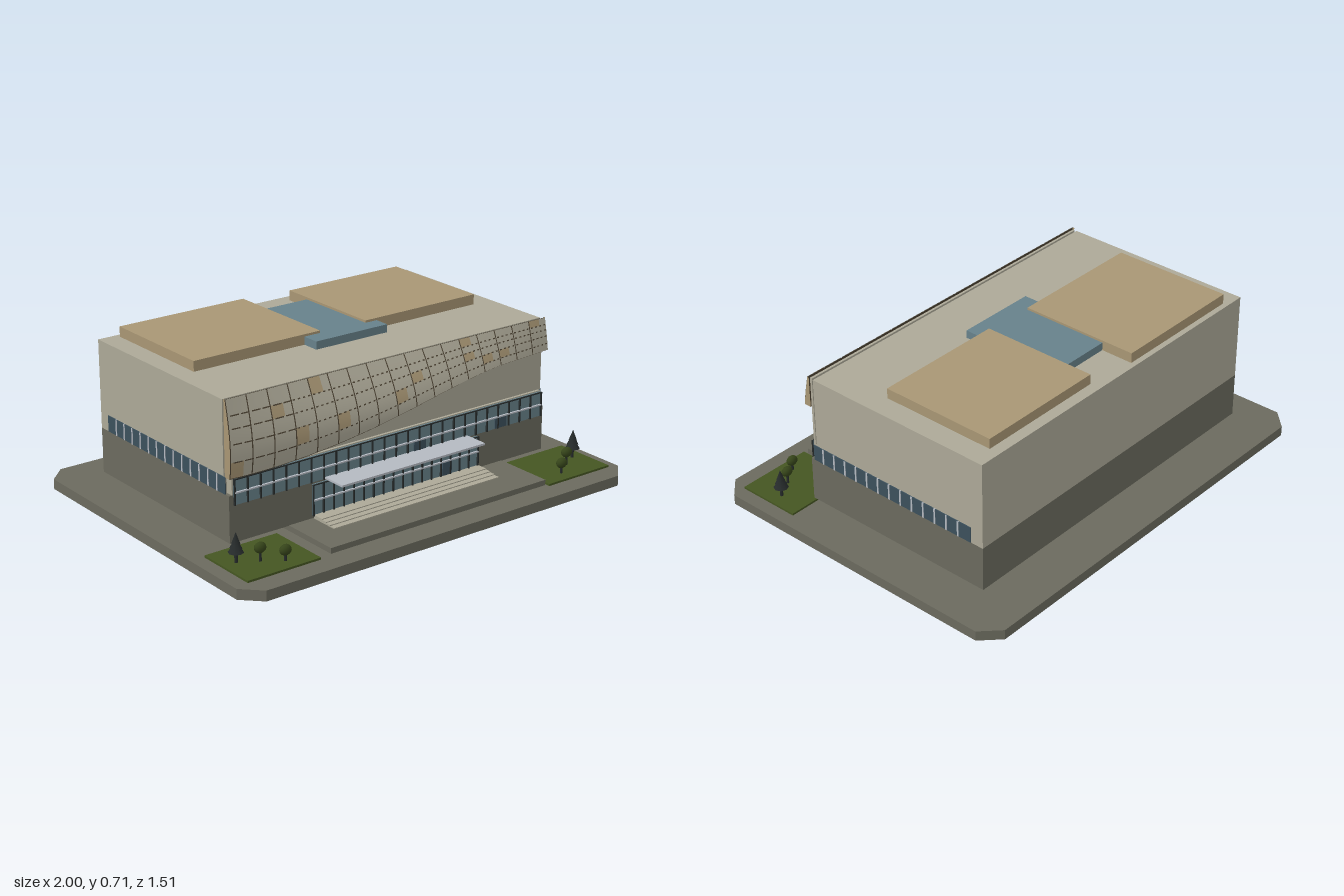
import * as THREE from 'three';
import { mergeGeometries } from 'three/addons/utils/BufferGeometryUtils.js';

const mat = (name, color, side = THREE.FrontSide) => {
  const m = new THREE.MeshStandardMaterial({ color, side });
  m.name = name;
  return m;
};

export function createModel() {
  const M = {
    concrete: mat('concrete', 0x6b6a5e),
    cream: mat('cream stone', 0xaca897, THREE.DoubleSide),
    tan: mat('tan panel', 0xa89674, THREE.DoubleSide),
    glass: mat('blue glass', 0x67818a),
    darkGlass: mat('dark glass', 0x3c505c),
    grass: mat('grass', 0x455622),
    foliage: mat('foliage', 0x36451a),
    frame: mat('dark frame', 0x262b2b),
    metal: mat('pale metal', 0xb4b9c1),
    brown: mat('brown soffit', 0x4f4535, THREE.DoubleSide),
  };
  const model = new THREE.Group();
  const add = (name, geo, material) => {
    const mesh = new THREE.Mesh(geo, material);
    mesh.name = name;
    model.add(mesh);
    return mesh;
  };
  const boxGeo = (x0, x1, y0, y1, z0, z1) =>
    new THREE.BoxGeometry(x1 - x0, y1 - y0, z1 - z0).translate((x0 + x1) / 2, (y0 + y1) / 2, (z0 + z1) / 2);
  const box = (name, material, ...b) => add(name, boxGeo(...b), material);

  // Ground slab with clipped corners
  const X = 1, Z = 0.755, C = 0.08;
  const outline = [[-X + C, -Z], [X - C, -Z], [X, -Z + C], [X, Z - C], [X - C, Z], [-X + C, Z], [-X, Z - C], [-X, -Z + C]];
  const slab = new THREE.ExtrudeGeometry(new THREE.Shape(outline.map(p => new THREE.Vector2(...p))), { depth: 0.045, bevelEnabled: false });
  add('groundSlab', slab.rotateX(-Math.PI / 2), M.concrete);

  // Plaza and entrance steps
  box('plaza', M.concrete, -0.54, 0.59, 0.053, 0.077, 0.31, 0.655);
  for (let i = 0; i < 4; i++)
    box('step', M.cream, -0.42, 0.45, 0.077 + i * 0.004, 0.081 + i * 0.004, 0.385, 0.52 - i * 0.027);

  // Main volumes
  box('lowerStorey', M.concrete, -0.825, 0.82, 0.075, 0.275, -0.555, 0.38);
  box('upperHall', M.cream, -0.825, 0.82, 0.275, 0.665, -0.555, 0.345);
  box('bandCore', M.cream, -0.81, 0.805, 0.275, 0.349, 0.345, 0.378);
  box('frontWall', M.cream, -0.825, 0.815, 0.349, 0.665, 0.355, 0.366);

  // Roof volumes
  box('roofLeft', M.tan, -0.735, -0.11, 0.66, 0.71, -0.53, 0.02);
  box('roofRight', M.tan, 0.12, 0.72, 0.66, 0.71, -0.505, 0.03);
  box('roofSkylight', M.glass, -0.19, 0.18, 0.66, 0.7, -0.38, 0.1);

  // Side window strips with pale mullions
  for (const [x, s] of [[0.82, 1], [-0.825, -1]]) {
    const a = Math.min(x, x + s * 0.004), b = Math.max(x, x + s * 0.004);
    box('sideWindow', M.darkGlass, a, b, 0.277, 0.348, -0.495, 0.36);
    const bars = [];
    for (let z = -0.43; z < 0.35; z += 0.0613) bars.push(boxGeo(a - 0.002, b + 0.002, 0.277, 0.348, z - 0.004, z + 0.004));
    add('sideMullions', mergeGeometries(bars), M.metal);
  }

  // Front glazing: pane, dark mullions and pale transom
  const glazing = (name, x0, x1, y0, y1, n, yBar) => {
    box(name + 'Glass', M.glass, x0, x1, y0, y1, 0.379, 0.387);
    const bars = [];
    for (let i = 0; i <= n; i++) {
      const x = x0 + (x1 - x0) * i / n;
      bars.push(boxGeo(x - 0.003, x + 0.003, y0, y1, 0.386, 0.394));
    }
    bars.push(boxGeo(x0, x1, y1 - 0.004, y1, 0.386, 0.393));
    add(name + 'Mullions', mergeGeometries(bars), M.frame);
    box(name + 'Transom', M.metal, x0, x1, yBar - 0.003, yBar + 0.003, 0.386, 0.396);
  };
  glazing('band', -0.805, 0.8, 0.235, 0.345, 26, 0.288);
  glazing('entrance', -0.425, 0.445, 0.09, 0.225, 17, 0.157);
  box('door', M.darkGlass, 0.25, 0.3, 0.092, 0.15, 0.387, 0.391);
  for (const x of [0.125, 0.57]) box('openPane', M.darkGlass, x - 0.032, x + 0.032, 0.237, 0.282, 0.387, 0.391);
  box('canopy', M.metal, -0.365, 0.385, 0.234, 0.243, 0.385, 0.5);

  // Curved screen: u runs left to right, v from top to the sweeping lower edge
  const lowerEdge = x => 0.35 + 0.183 * THREE.MathUtils.smoothstep(x, -0.8, 0.6);
  const screen = (u, v, off = 0) => {
    const x = -0.83 + 1.655 * u;
    const y = THREE.MathUtils.lerp(0.672, lowerEdge(x), v);
    const bulge = 0.03 + 0.06 * Math.sin(Math.PI * u);
    return [x, y, 0.37 + bulge * Math.sin(Math.PI * 0.72 * (0.672 - y) / 0.322) + off];
  };
  const patch = (fn, nu, nv) => {
    const pos = [], idx = [];
    for (let i = 0; i <= nu; i++) for (let j = 0; j <= nv; j++) pos.push(...fn(i / nu, j / nv));
    for (let i = 0; i < nu; i++) for (let j = 0; j < nv; j++) {
      const a = i * (nv + 1) + j, b = a + nv + 1;
      idx.push(a, a + 1, b + 1, a, b + 1, b);
    }
    const g = new THREE.BufferGeometry();
    g.setAttribute('position', new THREE.Float32BufferAttribute(pos, 3));
    g.setIndex(idx);
    g.computeVertexNormals();
    return g;
  };
  const cell = (u0, u1, v0, v1, off) =>
    patch((a, b) => screen(u0 + (u1 - u0) * a, v0 + (v1 - v0) * b, off), 2, 4);

  add('screenBacking', patch((u, v) => screen(u, v), 51, 16), M.brown);
  add('screenSoffit', patch((u, w) => {
    const p = screen(u, 1);
    return [p[0], p[1], THREE.MathUtils.lerp(p[2], 0.362, w)];
  }, 51, 1), M.brown);
  for (const u of [0, 1])
    add('screenEnd', patch((w, v) => {
      const p = screen(u, v);
      return [p[0], p[1], THREE.MathUtils.lerp(0.362, p[2], w)];
    }, 1, 12), M.tan);

  // Screen panels, with scattered tan ones, and slots along the row joints
  const rows = [0, 0.2, 0.36, 0.55, 0.78, 1], cols = 17;
  const tanCells = new Set(['0,4', '2,1', '3,3', '4,0', '5,3', '8,3', '9,2', '12,2', '12,0', '13,3', '14,3', '16,0']);
  const pale = [], warm = [], slots = [];
  for (let c = 0; c < cols; c++) {
    for (let r = 0; r < 5; r++) {
      const isTan = tanCells.has(`${c},${r}`);
      const end = r === 4 ? 0.985 : rows[r + 1];
      const u0 = c / cols + 0.0015, u1 = (c + 1) / cols - 0.0015;
      if (isTan) {
        const mid = u0 + (u1 - u0) * 0.6;
        warm.push(cell(u0, mid, rows[r], end, 0.003));
        pale.push(cell(mid, u1, rows[r], end, 0.003));
      } else pale.push(cell(u0, u1, rows[r], end, 0.003));
      if (r === 0) continue;
      const n = c < 3 ? 2 : 4, fill = c < 3 ? 0.8 : 0.45;
      for (let k = 0; k < n; k++) {
        const s = (c + (k + 0.25) / n) / cols, h = 0.0025 / (0.672 - lowerEdge(-0.83 + 1.655 * s));
        slots.push(cell(s, s + fill / n / cols, rows[r] - h, rows[r] + h, 0.005));
      }
    }
  }
  add('screenPanels', mergeGeometries(pale), M.cream);
  add('screenTanPanels', mergeGeometries(warm), M.tan);
  add('screenSlots', mergeGeometries(slots), M.brown);

  // Lawns and trees, mirrored
  for (const s of [-1, 1]) {
    box('lawn', M.grass, Math.min(s * 0.6, s * 0.945), Math.max(s * 0.6, s * 0.945), 0.051, 0.06, 0.38, 0.67);
    const tiers = [new THREE.CylinderGeometry(0.007, 0.007, 0.06, 6).translate(0, 0.09, 0)];
    for (let i = 0; i < 3; i++)
      tiers.push(new THREE.ConeGeometry(0.032 - i * 0.007, 0.048, 8).translate(0, 0.127 + i * 0.018, 0));
    add('conifer', mergeGeometries(tiers), M.frame).position.set(s * 0.885, 0, 0.508);
    for (const [x, z, y] of [[0.805, 0.555, 0.118], [0.725, 0.61, 0.106]]) {
      add('treeTrunk', new THREE.CylinderGeometry(0.005, 0.006, y - 0.06, 6), M.frame).position.set(s * x, (y + 0.06) / 2, z);
      add('treeCrown', new THREE.SphereGeometry(0.027, 10, 8).scale(1, 0.85, 0.7), M.foliage).position.set(s * x, y, z);
    }
  }
  return model;
}
